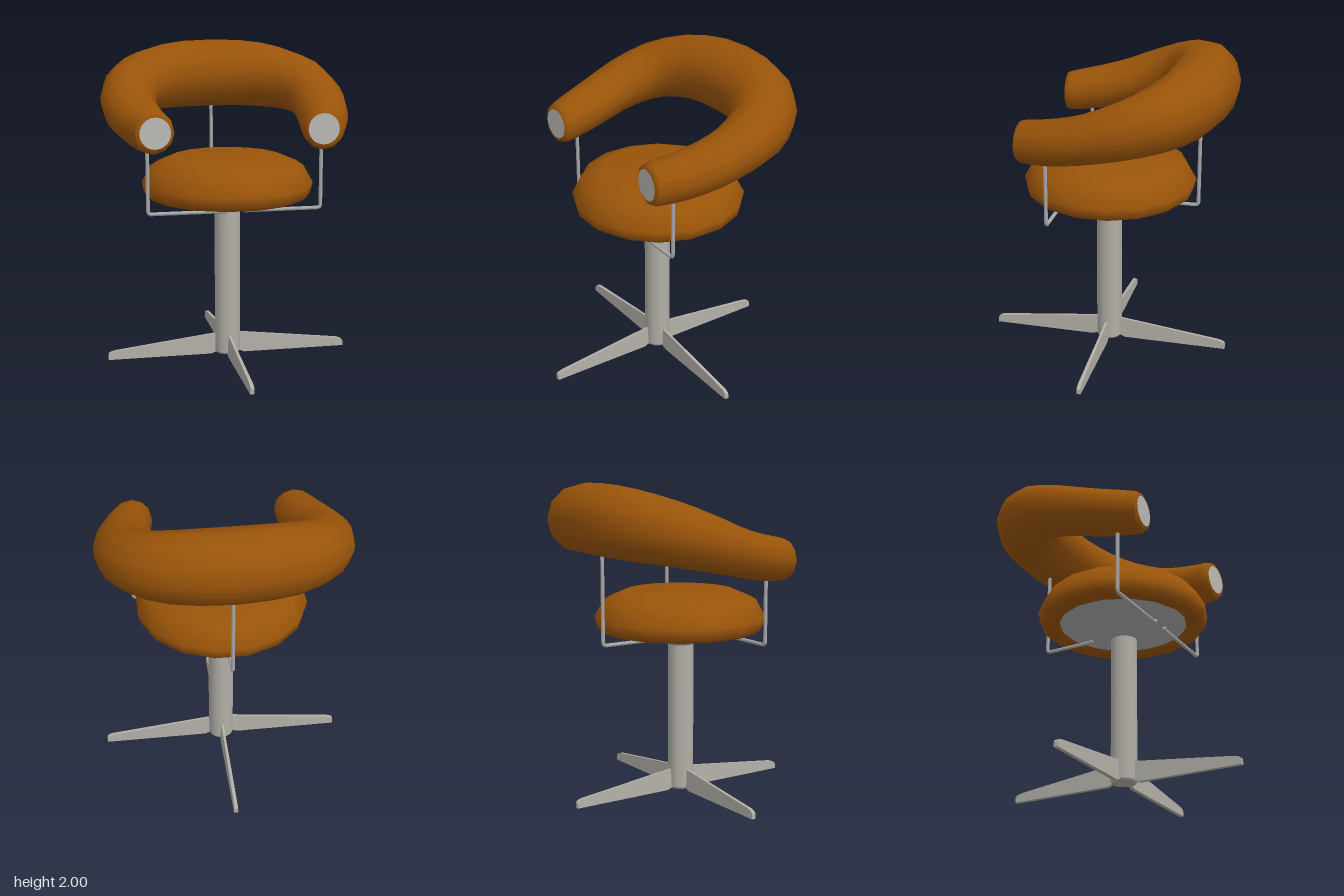
import * as THREE from 'three';

const mat = (name, color, side = THREE.FrontSide) => {
  const m = new THREE.MeshStandardMaterial({ color, side });
  m.name = name;
  return m;
};

// Smooth tube of elliptical rings; stations are [x, y, z, sideRadius, heightRadius]
function sweepRings(stations, sides) {
  const pos = [], idx = [];
  const up = new THREE.Vector3(0, 1, 0);
  const at = (i) => new THREE.Vector3(...stations[i].slice(0, 3));
  const last = stations.length - 1;
  stations.forEach(([x, y, z, rs, rh], i) => {
    const t = at(Math.min(i + 1, last)).sub(at(Math.max(i - 1, 0))).setY(0).normalize();
    const s = up.clone().cross(t);
    for (let j = 0; j < sides; j++) {
      const a = (j / sides) * Math.PI * 2, c = Math.cos(a) * rs;
      pos.push(x + s.x * c, y + Math.sin(a) * rh, z + s.z * c);
    }
  });
  for (let i = 0; i < last; i++) {
    for (let j = 0; j < sides; j++) {
      const k = (j + 1) % sides, a = i * sides, b = a + sides;
      idx.push(a + j, a + k, b + j, a + k, b + k, b + j);
    }
  }
  const g = new THREE.BufferGeometry();
  g.setAttribute('position', new THREE.Float32BufferAttribute(pos, 3));
  g.setIndex(idx);
  g.computeVertexNormals();
  return g;
}

// Thin rod with one rounded corner
function bentRod(a, corner, b, radius) {
  const [p, c, q] = [a, corner, b].map((v) => new THREE.Vector3(...v));
  const toward = (v) => c.clone().add(v.clone().sub(c).setLength(0.022));
  const path = new THREE.CurvePath();
  path.add(new THREE.LineCurve3(p, toward(p)));
  path.add(new THREE.QuadraticBezierCurve3(toward(p), c, toward(q)));
  path.add(new THREE.LineCurve3(toward(q), q));
  return new THREE.TubeGeometry(path, 80, radius, 8);
}

export function createModel() {
  const model = new THREE.Group();
  model.name = 'swivelChair';
  const orange = mat('orangeUpholstery', 0x9a5409, THREE.DoubleSide);
  const metal = mat('paleMetal', 0xb1aea6);
  const capMetal = mat('brightCapMetal', 0xbcbab5);
  const grey = mat('neutralMetal', 0xa8a9a8, THREE.DoubleSide);
  const add = (name, geometry, material, x = 0, y = 0, z = 0) => {
    const m = new THREE.Mesh(geometry, material);
    m.name = name;
    m.position.set(x, y, z);
    model.add(m);
    return m;
  };
  const lathe = (pts, n, start = 0) =>
    new THREE.LatheGeometry(pts.map((p) => new THREE.Vector2(...p)), n, start);
  const axisZ = 0.012;

  // Four-legged base: blades around the column, thinner toward their upper edge
  const blade = new THREE.Shape();
  blade.moveTo(0.06, 0.012);
  blade.lineTo(0.08, 0.012);
  blade.lineTo(0.11, 0.0);
  blade.lineTo(0.782, 0.0);
  blade.lineTo(0.782, 0.03);
  blade.quadraticCurveTo(0.78, 0.052, 0.72, 0.059);
  blade.lineTo(0.08, 0.137);
  blade.lineTo(0.06, 0.137);
  const bladeGeo = new THREE.ExtrudeGeometry(blade, { depth: 0.024, bevelEnabled: false });
  bladeGeo.translate(0, 0, -0.012);
  const bp = bladeGeo.attributes.position;
  for (let i = 0; i < bp.count; i++) bp.setZ(i, bp.getZ(i) * (1.15 - 4 * bp.getY(i)));
  bladeGeo.computeVertexNormals();
  for (let i = 0; i < 4; i++) {
    add('baseLeg', bladeGeo, metal, 0, 0, axisZ).rotation.y = (i * Math.PI) / 2;
  }

  // Column with a small chamfered foot
  add('column', new THREE.CylinderGeometry(0.082, 0.082, 0.95, 24, 1, true), metal, 0, 0.495, axisZ);
  add('columnFoot', new THREE.CylinderGeometry(0.082, 0.074, 0.012, 24), metal, 0, 0.014, axisZ);

  // Seat cushion and the shallow cone beneath it
  add('seatCushion', lathe([
    [0.405, 1.08], [0.43, 1.05], [0.495, 1.05], [0.533, 1.077], [0.547, 1.14],
    [0.485, 1.25], [0.35, 1.308], [0, 1.308],
  ], 16, Math.PI / 16), orange, 0, 0, 0.005);
  add('seatCone', lathe([[0.08, 0.96], [0.42, 1.08]], 32), grey, 0, 0, 0.008);

  // Horseshoe backrest: half the path, then mirrored
  const half = [
    [0.516, 1.53, 0.435, 0.095, 0.095],
    [0.5165, 1.53, 0.428, 0.118, 0.122],
    [0.519, 1.53, 0.4, 0.128, 0.133],
    [0.546, 1.541, 0.31, 0.143, 0.139],
    [0.57, 1.557, 0.21, 0.155, 0.144],
    [0.592, 1.579, 0.11, 0.163, 0.148],
    [0.607, 1.606, 0.01, 0.170, 0.154],
    [0.612, 1.638, -0.09, 0.172, 0.164],
    [0.604, 1.668, -0.19, 0.178, 0.174],
    [0.575, 1.702, -0.3, 0.188, 0.186],
    [0.52, 1.728, -0.39, 0.196, 0.196],
    [0.44, 1.749, -0.465, 0.205, 0.206],
    [0.335, 1.765, -0.522, 0.212, 0.214],
    [0.19, 1.776, -0.557, 0.219, 0.22],
  ];
  const mirrored = half.map(([x, ...rest]) => [-x, ...rest]).reverse();
  add('backrest', sweepRings([...half, [0, 1.779, -0.57, 0.225, 0.222], ...mirrored], 12), orange);

  for (const s of [1, -1]) {
    // Discs closing the arm ends
    const cap = add('armEndCap', new THREE.CircleGeometry(0.096, 24), capMetal, s * 0.516, 1.53, 0.437);
    cap.rotation.y = -s * 0.07;
    // Arm supports
    add('armRod', bentRod([s * 0.545, 1.47, 0.27], [s * 0.545, 1.006, 0.27], [s * 0.06, 1.006, 0.27], 0.012), grey);
    add('armRodTip', new THREE.SphereGeometry(0.016, 10, 8), grey, s * 0.065, 1.012, 0.27);
  }
  // Rear support
  add('backRod', bentRod([0, 1.62, -0.567], [0, 1.005, -0.567], [0, 1.005, -0.225], 0.012), grey);
  add('backRodTip', new THREE.SphereGeometry(0.016, 10, 8), grey, 0, 1.01, -0.23);

  return model;
}
